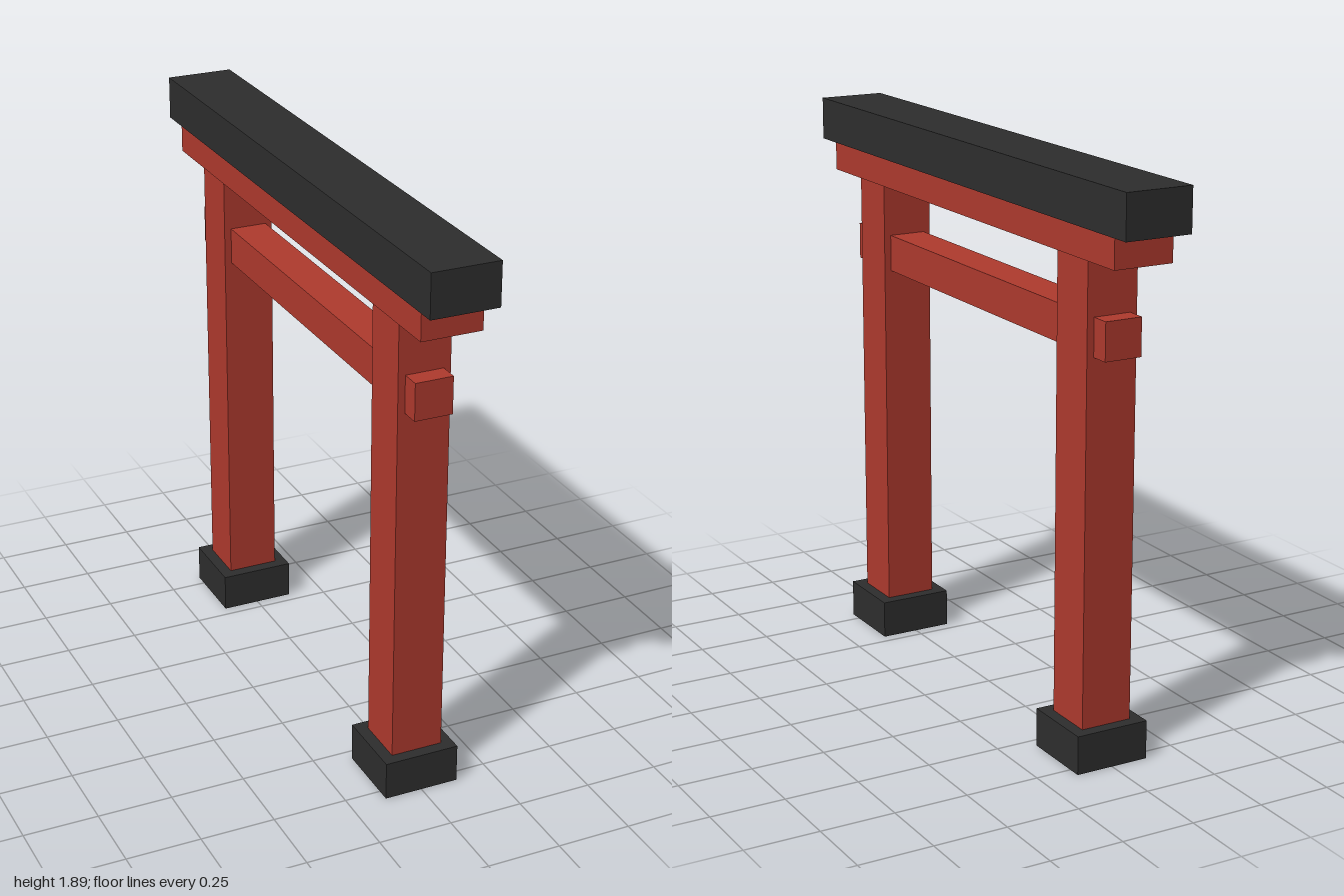
import * as THREE from 'three';

// Box standing on y0, open underneath
function openBox(w, h, d) {
  const geo = new THREE.BoxGeometry(w, h, d);
  const index = Array.from(geo.index.array);
  index.splice(18, 6); // drop the underside
  geo.setIndex(index);
  geo.clearGroups();
  geo.translate(0, h / 2, 0);
  return geo;
}

export function createModel() {
  const model = new THREE.Group();
  model.name = 'gate';

  const red = new THREE.MeshStandardMaterial({ color: 0xb03a2e, side: THREE.DoubleSide });
  red.name = 'red paint';
  const black = new THREE.MeshStandardMaterial({ color: 0x2e2e2e, side: THREE.DoubleSide });
  black.name = 'black paint';

  const add = (name, material, [w, h, d], y, z = 0) => {
    const mesh = new THREE.Mesh(openBox(w, h, d), material);
    mesh.name = name;
    mesh.position.set(0, y, z);
    model.add(mesh);
  };

  // Pillars with their footings, one at each end
  for (const [side, s] of [['front', 1], ['back', -1]]) {
    add(`${side}Footing`, black, [0.255, 0.13, 0.255], 0, s * 0.667);
    add(`${side}Pillar`, red, [0.176, 1.645, 0.176], 0, s * 0.667);
  }

  // Crossbeams and top lintel
  add('tieBeam', red, [0.128, 0.125, 1.64], 1.34);
  add('upperBeam', red, [0.204, 0.1, 1.844], 1.645);
  add('topLintel', black, [0.228, 0.145, 2], 1.745);

  return model;
}
